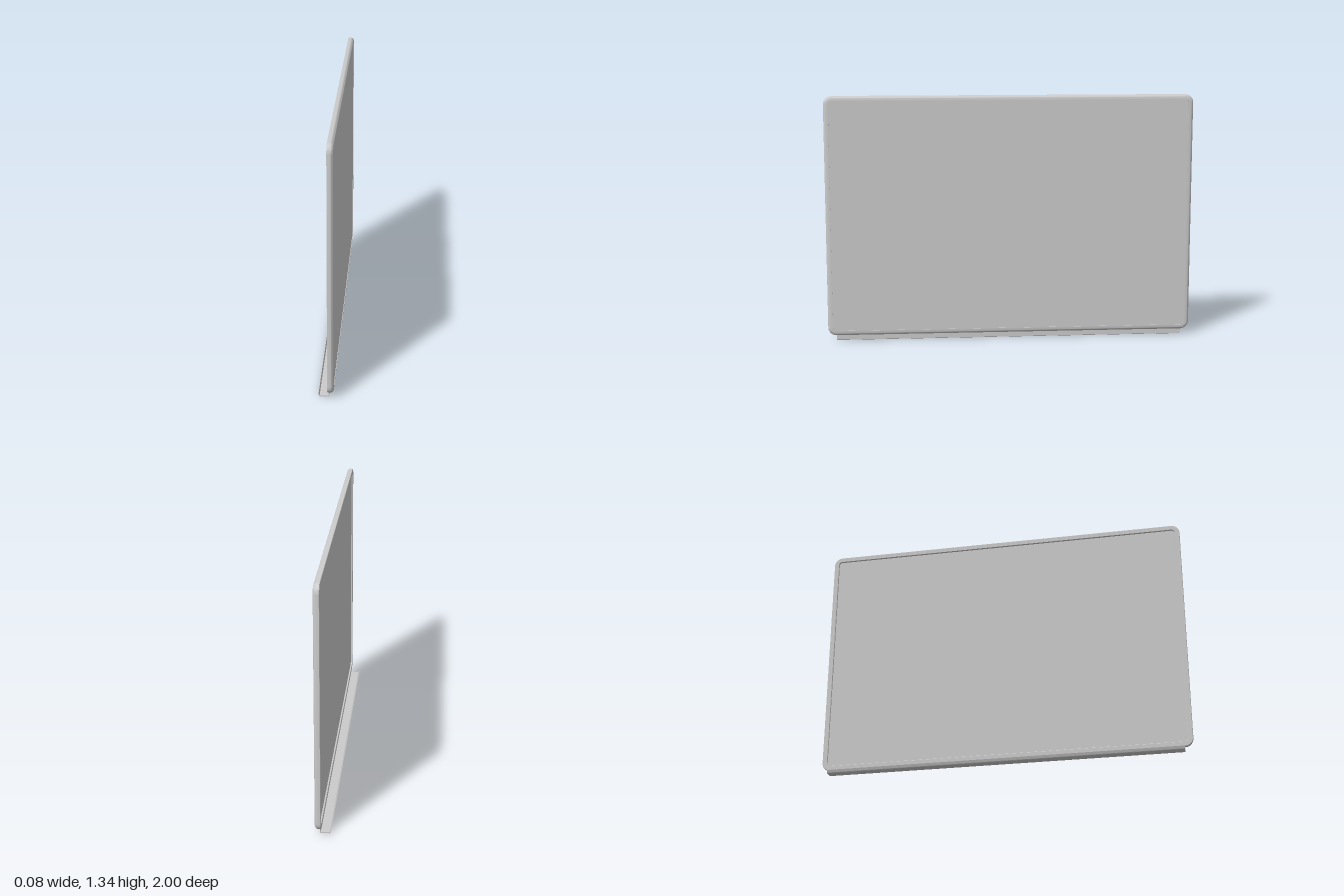
import * as THREE from 'three';
import { toCreasedNormals } from 'three/addons/utils/BufferGeometryUtils.js';

const BOTTOM = 0.03, TOP = 1.34, HALF = 1, RADIUS = 0.045, CORNER_STEPS = 10;
const MID = (BOTTOM + TOP) / 2;

// Rounded rectangle outline in (z, y), inset from the outer edge of the board
function outline(inset) {
  const points = [];
  for (let c = 0; c < 4; c++) {
    const cz = (c === 0 || c === 3 ? 1 : -1) * (HALF - RADIUS);
    const cy = MID + (c < 2 ? 1 : -1) * ((TOP - BOTTOM) / 2 - RADIUS);
    for (let i = 0; i <= CORNER_STEPS; i++) {
      const a = (c + i / CORNER_STEPS) * Math.PI / 2, r = RADIUS - inset;
      points.push(new THREE.Vector2(cz + r * Math.cos(a), cy + r * Math.sin(a)));
    }
  }
  return points;
}

// Sweep a closed (inset, x) profile around the outline
function frameGeometry(profile) {
  const positions = [], index = [];
  const loops = profile.map(([inset]) => outline(inset));
  const n = loops[0].length, m = profile.length;
  loops.forEach((loop, j) => loop.forEach((p) => positions.push(profile[j][1], p.y, p.x)));
  for (let j = 0; j < m; j++) {
    for (let i = 0; i < n; i++) {
      const j2 = (j + 1) % m, i2 = (i + 1) % n;
      const a = j * n + i, b = j2 * n + i, c = j2 * n + i2, d = j * n + i2;
      index.push(a, b, c, a, c, d);
    }
  }
  const geometry = new THREE.BufferGeometry();
  geometry.setAttribute('position', new THREE.Float32BufferAttribute(positions, 3));
  geometry.setIndex(index);
  return toCreasedNormals(geometry, 0.6);
}

export function createModel() {
  const model = new THREE.Group();
  model.name = 'whiteboard';
  const grey = new THREE.MeshStandardMaterial({ color: 0xcccccc });
  const add = (name, geometry) => {
    const mesh = new THREE.Mesh(geometry, grey);
    mesh.name = name;
    model.add(mesh);
    return mesh;
  };

  // Rim: flat lip on the writing side, rounded shoulder on the other
  const profile = [[0.002, 0.007], [0, 0.009], [0, 0.022]];
  for (let i = 1; i <= 6; i++) {
    const a = i / 6 * Math.PI / 2;
    profile.push([0.018 * (1 - Math.cos(a)), 0.022 + 0.017 * Math.sin(a)]);
  }
  profile.push([0.027, 0.039], [0.027, 0.009], [0.025, 0.007]);
  add('frame', frameGeometry(profile));

  // Board surface, recessed inside the rim
  const panel = new THREE.ExtrudeGeometry(new THREE.Shape(outline(0.025)), { depth: 0.02, bevelEnabled: false });
  panel.rotateY(-Math.PI / 2);
  panel.translate(0.036, 0, 0);
  add('panel', panel);

  // Pen tray: folded strip hanging below the board with a raised outer lip
  const strip = [
    [0.016, 0.034], [0.012, 0.034], [0.012, 0.006], [-0.033, 0.006], [-0.038, 0.017],
    [-0.041, 0.016], [-0.036, 0.003], [-0.034, 0], [0.014, 0], [0.016, 0.002],
  ].map(([x, y]) => new THREE.Vector2(x, y));
  const tray = new THREE.ExtrudeGeometry(new THREE.Shape(strip), { depth: 1.91, bevelEnabled: false });
  tray.translate(0, 0, -0.955);
  add('penTray', tray);

  return model;
}
